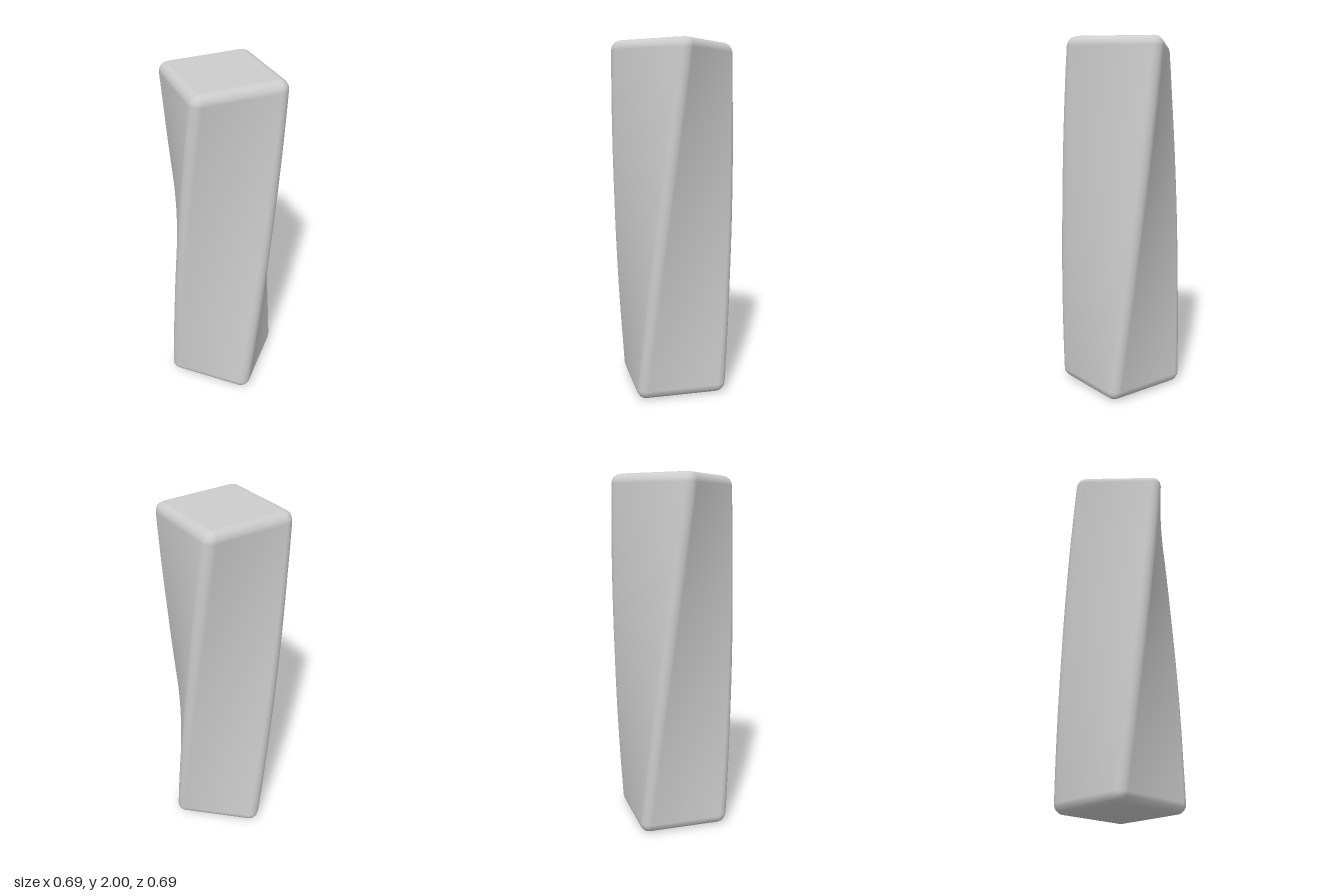
import * as THREE from 'three';

const HALF = new THREE.Vector3(0.26, 1, 0.26);
const RADIUS = 0.055;
const BEVEL = 2; // bevel steps per face side
const TWIST = Math.PI / 4; // total turn from foot to top

// Box with rounded edges, sliced along its height and twisted about y
function twistedRoundedBox() {
  const slices = { x: 1, y: 48, z: 1 };
  const count = (a) => slices[a] + 2 * BEVEL;
  const geo = new THREE.BoxGeometry(1, 1, 1, count('x'), count('y'), count('z'));
  const pos = geo.attributes.position;
  const nor = geo.attributes.normal;
  const p = new THREE.Vector3(), core = new THREE.Vector3(), dir = new THREE.Vector3();
  const up = new THREE.Vector3(0, 1, 0);
  const rate = TWIST / (2 * HALF.y);

  for (let i = 0; i < pos.count; i++) {
    p.fromBufferAttribute(pos, i);
    for (const a of ['x', 'y', 'z']) {
      // Grid step to a flat core position plus a bevel direction
      const step = Math.round((p[a] + 0.5) * count(a));
      const inner = THREE.MathUtils.clamp(step - BEVEL, 0, slices[a]);
      core[a] = (inner / slices[a] * 2 - 1) * (HALF[a] - RADIUS);
      dir[a] = Math.tan((step - BEVEL - inner) / BEVEL * Math.PI / 4);
    }
    dir.normalize();
    p.copy(core).addScaledVector(dir, RADIUS);

    // Twist the point and tilt its normal to suit
    const angle = (p.y + HALF.y) * rate;
    dir.y -= rate * (dir.x * p.z - dir.z * p.x);
    p.applyAxisAngle(up, angle);
    dir.applyAxisAngle(up, angle).normalize();
    pos.setXYZ(i, p.x, p.y + HALF.y, p.z);
    nor.setXYZ(i, dir.x, dir.y, dir.z);
  }
  geo.clearGroups();
  return geo;
}

export function createModel() {
  const group = new THREE.Group();
  group.name = 'twistedColumn';
  const grey = new THREE.MeshStandardMaterial({ color: 0xcccccc });
  grey.name = 'light grey';
  const body = new THREE.Mesh(twistedRoundedBox(), grey);
  body.name = 'columnBody';
  group.add(body);
  return group;
}
